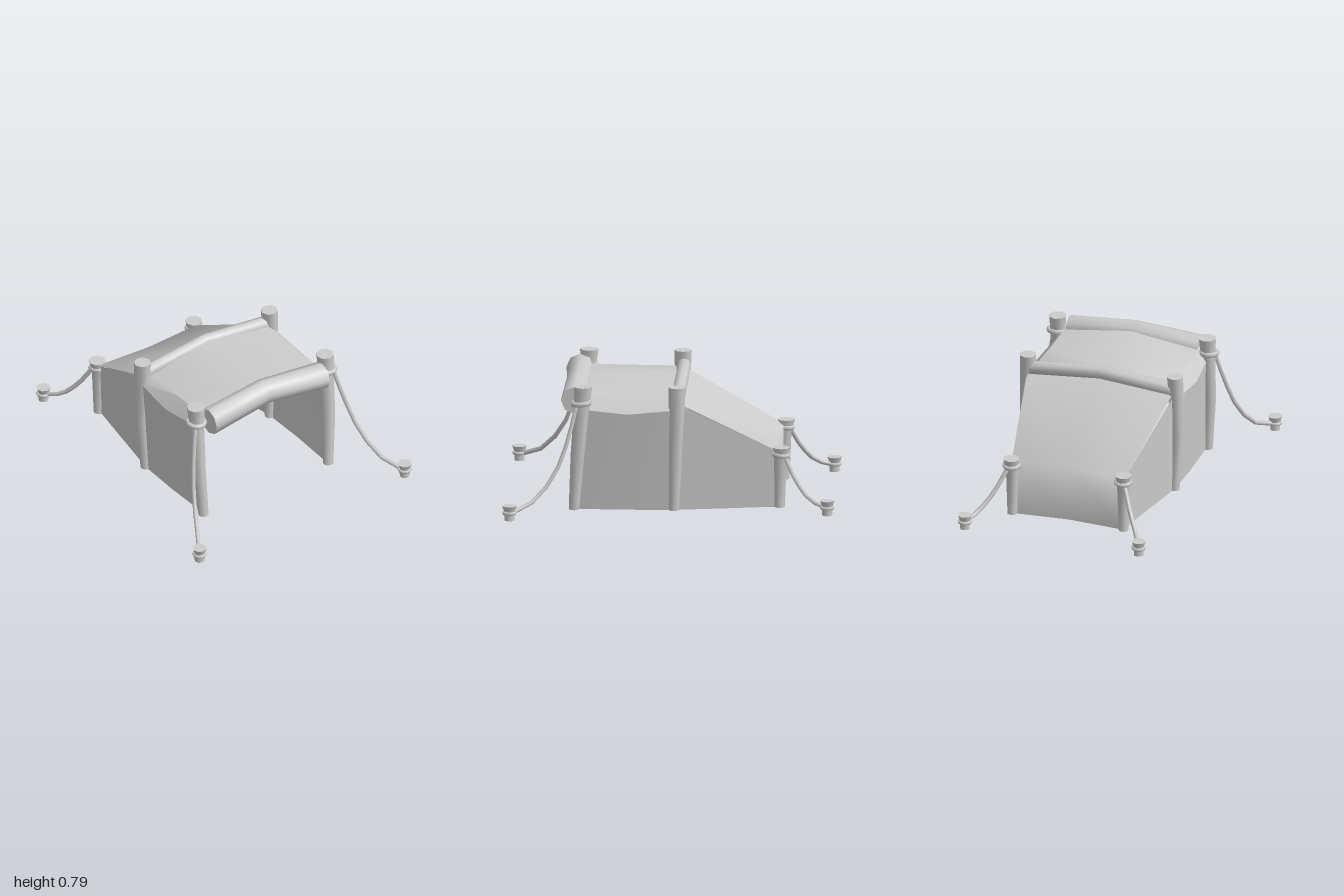
import * as THREE from 'three';
import { toCreasedNormals } from 'three/addons/utils/BufferGeometryUtils.js';

const grey = new THREE.MeshStandardMaterial({ color: 0xcccccc });
const cloth = new THREE.MeshStandardMaterial({ color: 0xcccccc, side: THREE.DoubleSide });

function add(parent, name, geometry, material = grey) {
  const mesh = new THREE.Mesh(geometry, material);
  mesh.name = name;
  parent.add(mesh);
  return mesh;
}

// Cloth surface through rows of points
function sheet(rows, crease) {
  const n = rows[0].length, index = [];
  for (let r = 0; r < rows.length - 1; r++) {
    for (let c = 0; c < n - 1; c++) {
      const a = r * n + c, d = a + n;
      index.push(a, a + 1, d, a + 1, d + 1, d);
    }
  }
  const g = new THREE.BufferGeometry();
  g.setAttribute('position', new THREE.Float32BufferAttribute(rows.flat(2), 3));
  g.setIndex(index);
  g.computeVertexNormals();
  return crease ? toCreasedNormals(g, crease) : g;
}

// Half section (ridge outwards) mirrored into a full one
const fullSection = (half) => [
  ...half.slice(1).reverse().map(([x, y, z]) => [-x, y, z]),
  ...half,
];

// Eight-sided pole with horizontal rings [x, y, z, radius], bottom to top
function pole(rings) {
  const n = rings.length - 1;
  const g = new THREE.CylinderGeometry(1, 1, 1, 8, n);
  const p = g.attributes.position;
  for (let i = 0; i < p.count; i++) {
    const [x, y, z, r] = rings[Math.round((p.getY(i) + 0.5) * n)];
    p.setXYZ(i, x + p.getX(i) * r, y, z + p.getZ(i) * r);
  }
  g.computeVertexNormals();
  return toCreasedNormals(g, 0.9);
}

// Rolled cloth along x, raised in the middle
function roll(halfLength, [endY, endZ, endR], [midY, midZ, midR]) {
  const g = new THREE.CylinderGeometry(1, 1, 2, 8, 2);
  g.rotateZ(Math.PI / 2);
  const p = g.attributes.position;
  for (let i = 0; i < p.count; i++) {
    const k = Math.abs(p.getX(i));
    const r = THREE.MathUtils.lerp(midR, endR, k);
    p.setXYZ(i, p.getX(i) * halfLength,
      THREE.MathUtils.lerp(midY, endY, k) + p.getY(i) * r,
      THREE.MathUtils.lerp(midZ, endZ, k) + p.getZ(i) * r);
  }
  g.computeVertexNormals();
  return toCreasedNormals(g, 0.9);
}

function collar(parent, name, radius, tube, [x, y, z], tilt = 0) {
  const ring = add(parent, name, new THREE.TorusGeometry(radius, tube, 6, 10).rotateX(Math.PI / 2));
  ring.position.set(x, y, z);
  ring.rotation.x = tilt;
}

function peg(parent, x, z) {
  const g = new THREE.Group();
  g.name = 'groundPeg';
  add(g, 'pegShaft', pole([[0, 0.005, 0, 0.03], [0, 0.07, 0, 0.033]]));
  add(g, 'pegHead', pole([[0, 0.06, 0, 0.032], [0, 0.095, 0, 0.044]]));
  collar(g, 'pegLoop', 0.034, 0.011, [0, 0.052, 0]);
  g.position.set(x, 0, z);
  parent.add(g);
}

function rope(parent, points) {
  const curve = new THREE.CatmullRomCurve3(points.map((p) => new THREE.Vector3(...p)));
  add(parent, 'guyRope', new THREE.TubeGeometry(curve, 6, 0.014, 6));
}

export function createModel() {
  const tent = new THREE.Group();
  tent.name = 'tent';

  // Main roof and side walls, from front to middle
  const main = [
    [[0, 0.75, 0.54], [0.43, 0.69, 0.54], [0.475, 0.63, 0.575], [0.455, 0.005, 0.595]],
    [[0, 0.755, 0.25], [0.43, 0.685, 0.25], [0.505, 0.605, 0.25], [0.465, 0.005, 0.25]],
    [[0, 0.745, -0.04], [0.44, 0.68, -0.04], [0.495, 0.63, -0.03], [0.46, 0.005, -0.025]],
  ];
  add(tent, 'mainCanopy', sheet(main.map(fullSection), 0.6), cloth);

  // Sloping rear roof running down into the back wall
  const rear = [
    [[0, 0.7, -0.06], [0.465, 0.665, -0.06]],
    [[0, 0.35, -0.635], [0.36, 0.345, -0.66]],
    [[0, 0.005, -0.635], [0.35, 0.005, -0.66]],
  ];
  add(tent, 'rearCanopy', sheet(rear.map(fullSection)), cloth);

  // Rolled cloth over the entrance and across the middle
  add(tent, 'entranceRoll', roll(0.42, [0.67, 0.575, 0.083], [0.715, 0.56, 0.077]));
  add(tent, 'middleRoll', roll(0.45, [0.685, -0.048, 0.042], [0.73, -0.058, 0.042]));

  for (const s of [1, -1]) {
    const side = new THREE.Group();
    side.name = s > 0 ? 'leftSide' : 'rightSide';
    tent.add(side);

    // Rear side wall
    const wall = [
      [[s * 0.475, 0.665, -0.04], [s * 0.46, 0.005, -0.025]],
      [[s * 0.36, 0.345, -0.66], [s * 0.35, 0.005, -0.66]],
    ];
    if (s < 0) wall.forEach((row) => row.reverse());
    add(side, 'rearSideWall', sheet(wall), cloth);

    // Posts
    add(side, 'frontPost', pole([
      [s * 0.462, 0.005, 0.577, 0.032], [s * 0.48, 0.35, 0.555, 0.042],
      [s * 0.48, 0.65, 0.53, 0.047], [s * 0.478, 0.77, 0.522, 0.055],
    ]));
    add(side, 'middlePost', pole([
      [s * 0.46, 0.005, -0.026, 0.031], [s * 0.482, 0.35, -0.036, 0.04],
      [s * 0.47, 0.77, -0.045, 0.052],
    ]));
    add(side, 'backPost', pole([
      [s * 0.355, 0.005, -0.66, 0.031], [s * 0.355, 0.3, -0.663, 0.04],
      [s * 0.358, 0.375, -0.672, 0.052],
    ]));

    // Rope collars on the posts
    collar(side, 'frontCollar', 0.052, 0.016, [s * 0.483, 0.67, 0.532], 0.1);
    collar(side, 'backCollar', 0.045, 0.014, [s * 0.356, 0.33, -0.668], -0.1);

    // Guy ropes and pegs
    rope(side, [
      [s * 0.51, 0.665, 0.56], [s * 0.563, 0.44, 0.615], [s * 0.615, 0.245, 0.695],
      [s * 0.68, 0.1, 0.82], [s * 0.745, 0.052, 0.93],
    ]);
    rope(side, [
      [s * 0.37, 0.325, -0.69], [s * 0.43, 0.19, -0.76],
      [s * 0.497, 0.09, -0.845], [s * 0.545, 0.052, -0.935],
    ]);
    peg(side, s * 0.76, 0.955);
    peg(side, s * 0.555, -0.955);
  }
  return tent;
}
